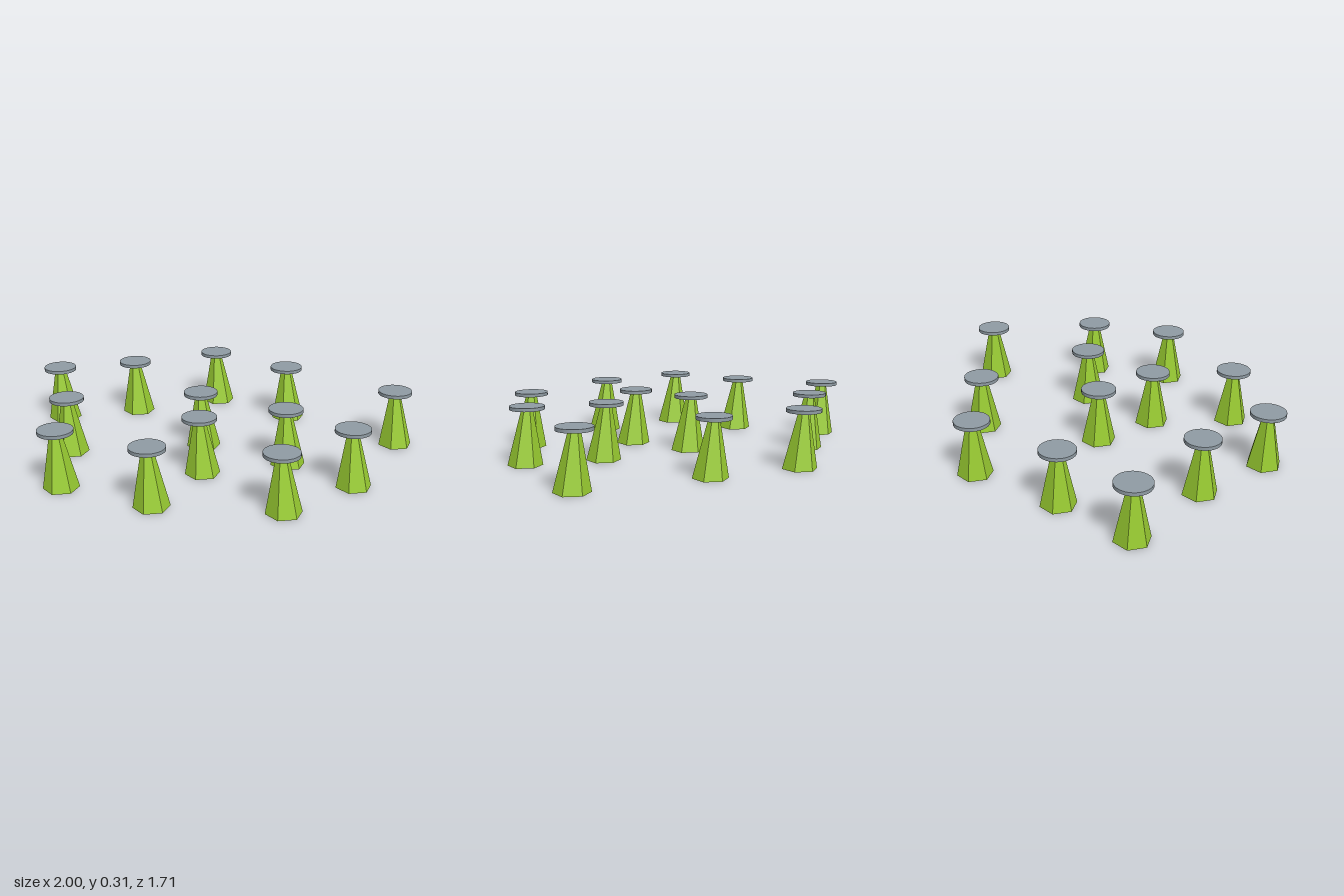
import * as THREE from 'three';

const STEM_HEIGHT = 0.29, DISC_HEIGHT = 0.018;

// [x, z] of each stand, at the centre of its disc
const STANDS = [
  [-0.896, -0.62], [-0.46, -0.662], [0.038, -0.766], [0.399, -0.422],
  [-0.857, -0.108], [-0.144, -0.084], [0.895, 0.064], [-0.91, 0.33],
  [-0.197, 0.273], [0.257, 0.23], [-0.484, 0.603], [0.524, 0.543], [0.124, 0.763],
];

// Hexagonal tapered stem with corners on the x axis; its foot is shifted so it leans slightly
function stemGeometry() {
  const g = new THREE.CylinderGeometry(0.029, 0.091, STEM_HEIGHT, 6);
  g.rotateY(Math.PI / 2);
  g.translate(0, STEM_HEIGHT / 2, 0);
  const p = g.attributes.position;
  for (let i = 0; i < p.count; i++) {
    const lean = 0.012 * (1 - p.getY(i) / STEM_HEIGHT);
    p.setX(i, p.getX(i) + lean);
    p.setZ(i, p.getZ(i) + lean);
  }
  g.computeVertexNormals();
  return g;
}

export function createModel() {
  const model = new THREE.Group();
  model.name = 'stands';

  const green = new THREE.MeshStandardMaterial({ color: 0x9acd32, flatShading: true });
  const slate = new THREE.MeshStandardMaterial({ color: 0x909ca4 });
  const stemGeo = stemGeometry();
  const discGeo = new THREE.CylinderGeometry(0.09, 0.09, DISC_HEIGHT, 32);

  STANDS.forEach(([x, z], i) => {
    const stand = new THREE.Group();
    stand.name = `stand${i + 1}`;
    stand.position.set(x, 0, z);

    const stem = new THREE.Mesh(stemGeo, green);
    stem.name = 'stem';

    // Thin round plate resting on the stem
    const disc = new THREE.Mesh(discGeo, slate);
    disc.name = 'disc';
    disc.position.y = STEM_HEIGHT + DISC_HEIGHT / 2;

    stand.add(stem, disc);
    model.add(stand);
  });
  return model;
}
